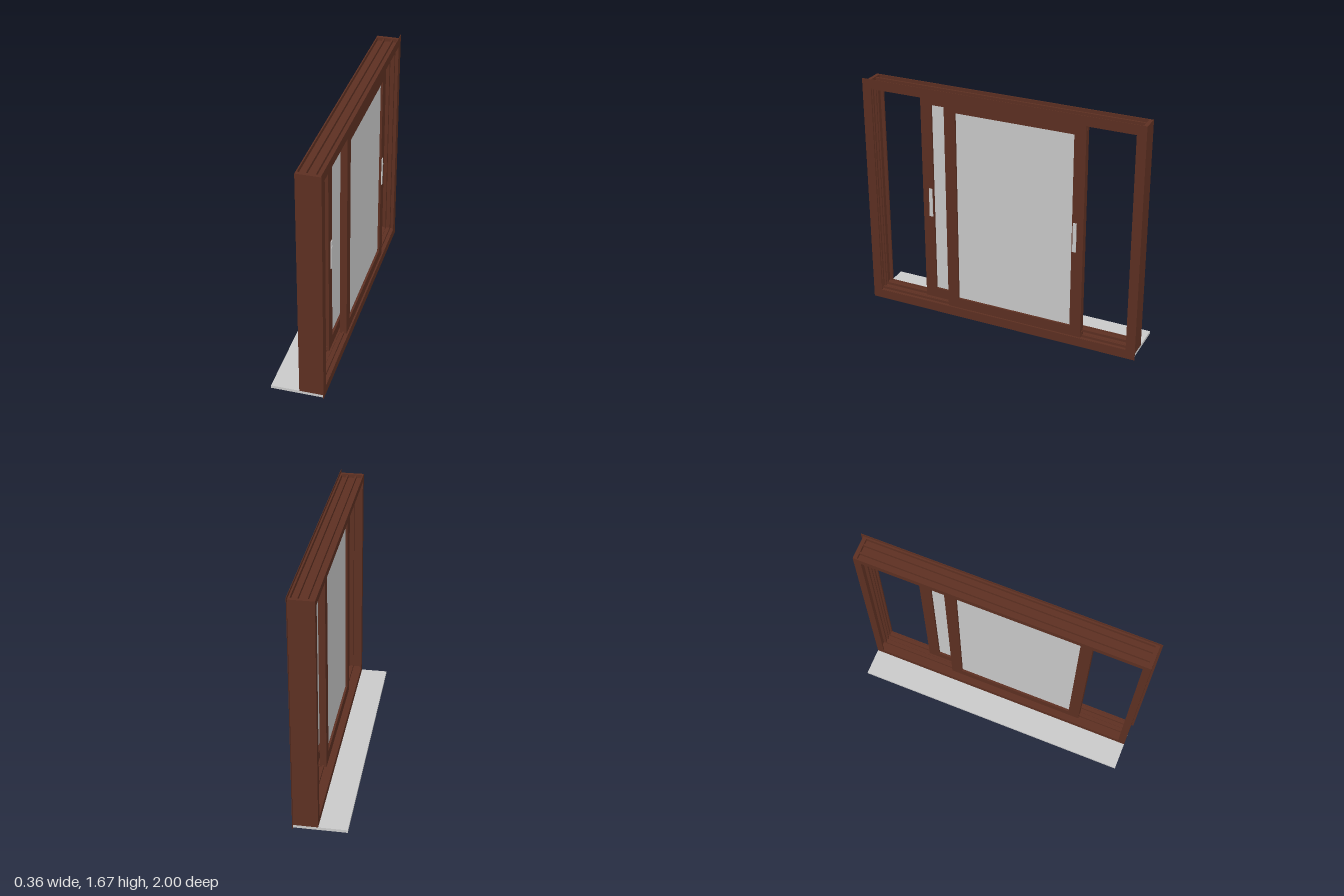
import * as THREE from 'three';

const brown = new THREE.MeshStandardMaterial({ color: 0x5e3022 });
const grey = new THREE.MeshStandardMaterial({ color: 0xcccccc });

// Box given by its limits on each axis
function box(name, mat, x0, x1, y0, y1, z0, z1) {
  const mesh = new THREE.Mesh(new THREE.BoxGeometry(x1 - x0, y1 - y0, z1 - z0), mat);
  mesh.position.set((x0 + x1) / 2, (y0 + y1) / 2, (z0 + z1) / 2);
  mesh.name = name;
  return mesh;
}

// Rectangular frame in the z-y plane, from x0 to x1; outer and inner are [z0, z1, y0, y1]
function ring(name, x0, x1, outer, inner) {
  const corners = ([z0, z1, y0, y1]) => [[-z1, y0], [-z0, y0], [-z0, y1], [-z1, y1]].map(p => new THREE.Vector2(...p));
  const shape = new THREE.Shape(corners(outer));
  shape.holes.push(new THREE.Path(corners(inner)));
  const geo = new THREE.ExtrudeGeometry(shape, { depth: x1 - x0, bevelEnabled: false });
  geo.rotateY(Math.PI / 2);
  geo.translate(x0, 0, 0);
  const mesh = new THREE.Mesh(geo, brown);
  mesh.name = name;
  return mesh;
}

// Sliding panel: frame, glass, handle and corner guides; side is the z sign of its handle edge
function sash(name, x0, side) {
  const g = new THREE.Group();
  g.name = name;
  const x1 = x0 + 0.046, mid = x0 + 0.023;
  const span = (a, b) => (side > 0 ? [a, b] : [-b, -a]);
  g.add(ring('sashFrame', x0, x1, [...span(-0.395, 0.605), 0.066, 1.609], [...span(-0.315, 0.525), 0.14, 1.535]));
  g.add(box('glass', grey, mid - 0.008, mid + 0.008, 0.13, 1.545, ...span(-0.325, 0.535)));
  // Handle plate with a small latch
  g.add(box('handle', grey, x1, x1 + 0.006, 0.71, 0.92, ...span(0.533, 0.558)));
  g.add(box('latch', grey, x1 + 0.006, x1 + 0.009, 0.868, 0.88, ...span(0.538, 0.553)));
  // Guides at the top and bottom of the handle edge
  for (const y of [0.07, 1.57]) {
    g.add(box('cornerGuide', brown, mid - 0.012, mid + 0.012, y, y + 0.035, ...span(0.6, 0.611)));
  }
  return g;
}

export function createModel() {
  const model = new THREE.Group();
  model.name = 'slidingWindow';

  // Outer sill plate
  model.add(box('sillPlate', grey, -0.18, 0.177, 0, 0.02, -0.985, 0.985));

  const frame = new THREE.Group();
  frame.name = 'outerFrame';
  // Web of the frame, and side plates that rise past the head
  frame.add(ring('frameWeb', 0.012, 0.177, [-0.985, 0.985, 0.02, 1.63], [-0.96, 0.96, 0.062, 1.613]));
  for (const s of [-1, 1]) {
    frame.add(box('sidePlate', brown, 0.012, 0.177, 1.63, 1.655, s * 0.9725 - 0.0125, s * 0.9725 + 0.0125));
  }
  // Thin flange around the face
  frame.add(ring('faceFlange', 0.176, 0.179, [-1, 1, 0, 1.675], [-0.935, 0.935, 0.065, 1.61]));
  // Ribs standing up along the top of the head
  for (const [x0, x1, top] of [[0.012, 0.02, 1.655], [0.06, 0.072, 1.65], [0.12, 0.132, 1.65], [0.165, 0.177, 1.655]]) {
    frame.add(box('headRib', brown, x0, x1, 1.62, top, -0.965, 0.965));
  }
  // Inner lips at both faces and between the tracks
  for (const [x0, x1] of [[0.012, 0.022], [0.109, 0.117], [0.169, 0.177]]) {
    frame.add(ring('innerLip', x0, x1, [-0.97, 0.97, 0.05, 1.625], [-0.935, 0.935, 0.066, 1.609]));
  }
  // Track rails the panels run on
  for (const x of [0.081, 0.145]) {
    frame.add(ring('trackRail', x - 0.006, x + 0.006, [-0.97, 0.97, 0.05, 1.625], [-0.937, 0.937, 0.08, 1.595]));
  }
  model.add(frame);

  model.add(sash('frontSash', 0.122, -1));
  model.add(sash('backSash', 0.058, 1));
  return model;
}
